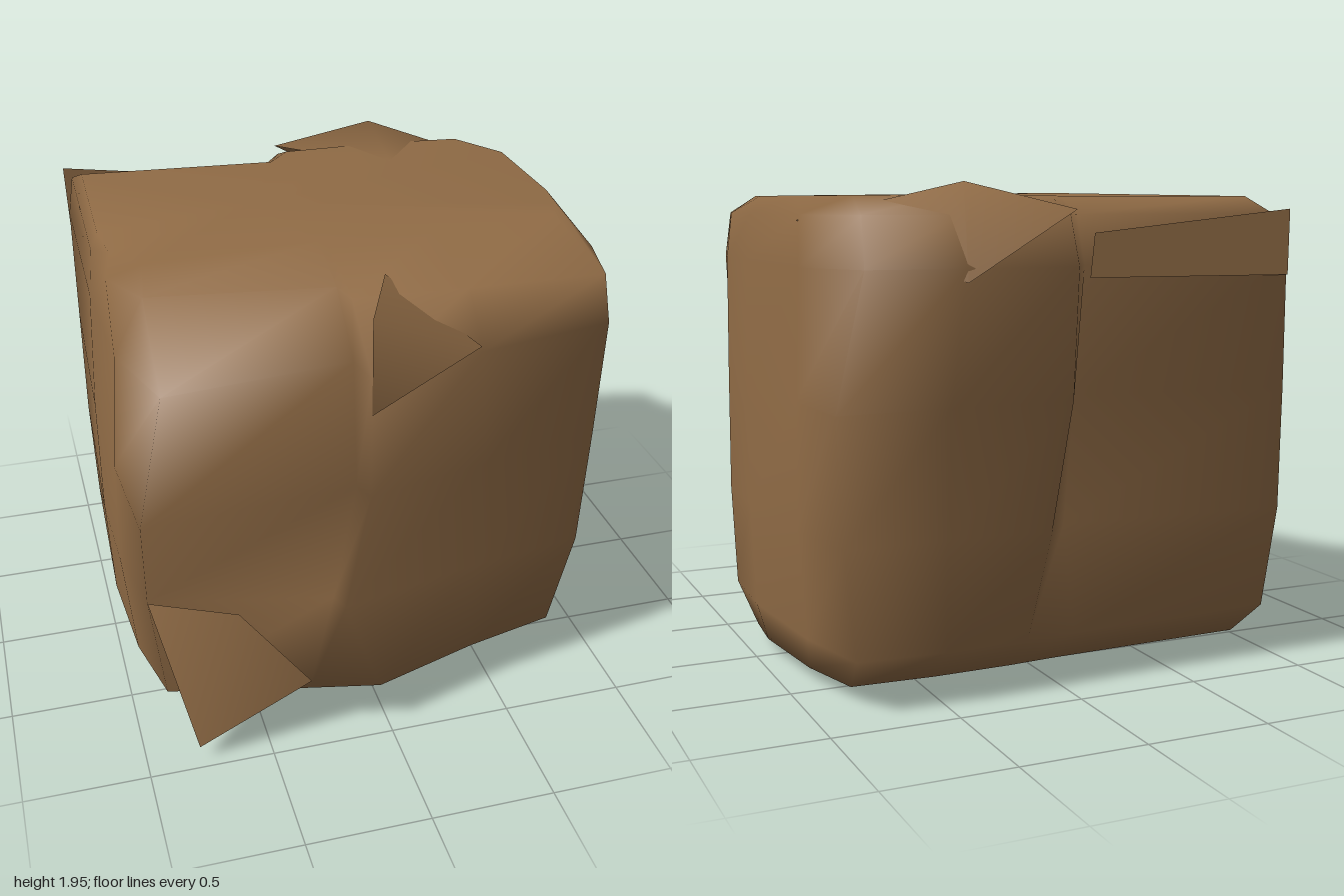
import * as THREE from 'three';
import { mergeVertices } from 'three/addons/utils/BufferGeometryUtils.js';

// Level outlines [x, z] of the stone, running front left, front, right, back, left.
// The close pairs near x = -0.1 are the steps of the front and back cracks.
const foot = [
  [-0.88, 0.76], [-0.32, 0.89], [-0.04, 0.95], [0.4, 0.81], [0.78, 0.72],
  [0.96, 0.45], [0.98, 0.05], [0.93, -0.5], [0.85, -0.85], [0.5, -0.87],
  [0.16, -0.86], [-0.05, -0.84], [-0.95, -0.8], [-0.98, 0], [-0.95, 0.45],
];
const waist = [
  [-0.93, 0.72], [-0.22, 0.88], [-0.19, 0.955], [0.38, 0.83], [0.86, 0.76],
  [0.98, 0.45], [1, 0.05], [0.96, -0.5], [0.9, -0.88], [0.5, -0.88],
  [0.08, -0.9], [-0.02, -0.8], [-0.96, -0.88], [-1, 0], [-0.99, 0.4],
];
const chest = [
  [-0.96, 0.95], [-0.13, 0.88], [-0.1, 0.965], [0.4, 0.85], [0.88, 0.77],
  [0.99, 0.4], [1, 0.05], [0.97, -0.55], [0.95, -0.95], [0.5, -0.93],
  [0.02, -0.95], [-0.06, -0.8], [-0.96, -0.89], [-1, 0], [-0.99, 0.5],
];
const shoulder = [
  [-0.85, 0.9], [-0.13, 0.82], [-0.1, 0.96], [0.35, 0.87], [0.9, 0.77],
  [0.96, 0.5], [0.98, 0.1], [0.97, -0.6], [0.82, -0.9], [0.45, -0.95],
  [0, -0.95], [-0.1, -0.8], [-0.96, -0.89], [-0.98, 0], [-0.96, 0.55],
];

// The underside and the rounded top draw in from the nearest outline
const levels = [
  { y: 0.07, outline: foot.map(([x, z]) => [x * 0.96, z * (z > 0 ? 0.58 : 0.8)]) },
  { y: 0.22, outline: foot },
  { y: 0.65, outline: waist },
  { y: 1.15, outline: chest },
  { y: 1.65, outline: shoulder },
  { y: 1.84, outline: shoulder.map(([x, z]) => [x * 0.98, z * (z > 0 ? 0.74 + 0.24 * x : 0.92)]) },
  { y: 1.91, outline: shoulder.map(([x, z]) => [x * 0.95, z * (z > 0 ? 0.38 : 0.74)]) },
];

function buildGeometry(positions, index) {
  const geometry = new THREE.BufferGeometry();
  geometry.setAttribute('position', new THREE.Float32BufferAttribute(positions, 3));
  geometry.setIndex(index);
  const merged = mergeVertices(geometry, 1e-3);
  merged.computeVertexNormals();
  return merged;
}

// Skin over the level outlines, closed by a low point and a crown
function stoneBody(lowPoint, crown) {
  const count = foot.length;
  const positions = levels.flatMap(({ y, outline }) => outline.flatMap(([x, z]) => [x, y, z]));
  positions.push(...lowPoint, ...crown);
  const low = levels.length * count;
  const topRow = low - count;
  const index = [];
  for (let i = 0; i < count; i++) {
    const next = (i + 1) % count;
    for (let row = 0; row < topRow; row += count) {
      const a = row + i, b = row + next;
      index.push(a, b, b + count, a, b + count, a + count);
    }
    index.push(low, next, i, low + 1, topRow + i, topRow + next);
  }
  return buildGeometry(positions, index);
}

// Thin broken sheet of stone: a fan of triangles around its first corner
function shard(corners) {
  const index = [];
  for (let i = 1; i < corners.length - 1; i++) index.push(0, i, i + 1);
  return buildGeometry(corners.flat(), index);
}

export function createModel() {
  const model = new THREE.Group();
  model.name = 'boulder';
  const stone = new THREE.MeshStandardMaterial({ color: 0x916c46, side: THREE.DoubleSide });
  stone.name = 'brown stone';

  const add = (name, geometry) => {
    const mesh = new THREE.Mesh(geometry, stone);
    mesh.name = name;
    model.add(mesh);
  };

  // Main body
  add('body', stoneBody([-0.42, 0.01, -0.05], [-0.3, 1.925, -0.1]));

  // Jagged sheets standing out at the cracks, corners counter-clockwise from outside
  add('frontTopShard', shard([[-0.1, 1.88, 0.955], [-0.1, 1.5, 0.965], [0.34, 1.68, 0.885], [0.06, 1.87, 0.58]]));
  add('frontBottomShard', shard([[-0.79, 0.07, 0.95], [-0.32, 0.28, 0.92], [-0.6, 0.65, 0.89], [-0.93, 0.65, 0.73]]));
  add('backLeftShard', shard([[-0.97, 1.86, -0.89], [-0.14, 1.77, -0.805], [-0.12, 1.6, -0.81], [-0.96, 1.6, -0.9]]));
  add('backTopShard', shard([[0.43, 1.96, -0.87], [0.4, 1.91, -0.4], [0.96, 1.82, -0.55],
    [0.45, 1.6, -0.96], [0, 1.86, -0.93], [0.4, 1.91, -0.4]]));
  return model;
}
